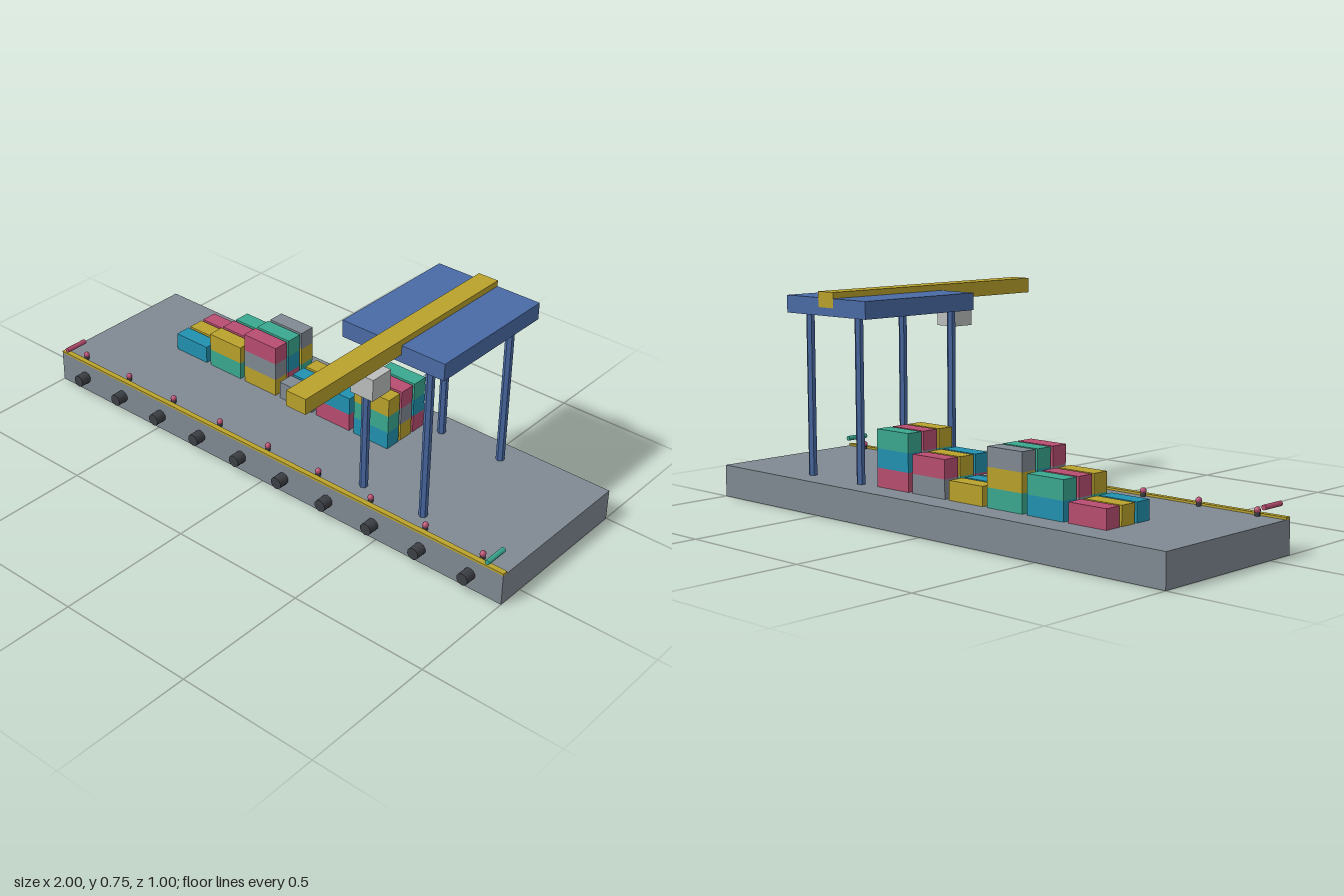
import * as THREE from 'three';

const mat = (name, color) => {
  const m = new THREE.MeshStandardMaterial({ color });
  m.name = name;
  return m;
};

export function createModel() {
  const grey = mat('concrete grey', 0x808992);
  const yellow = mat('safety yellow', 0xb9a22c);
  const crimson = mat('crimson', 0xb84d70);
  const cyan = mat('cyan blue', 0x2191b0);
  const green = mat('sea green', 0x3aa88f);
  const blue = mat('crane blue', 0x4a6ba5);
  const pale = mat('pale grey', 0xbcbebe);
  const dark = mat('rubber black', 0x3c3f44);

  const model = new THREE.Group();
  model.name = 'containerPort';

  const add = (parent, name, geometry, material, x, y, z) => {
    const mesh = new THREE.Mesh(geometry, material);
    mesh.name = name;
    mesh.position.set(x, y, z);
    parent.add(mesh);
    return mesh;
  };
  const group = (name) => {
    const g = new THREE.Group();
    g.name = name;
    model.add(g);
    return g;
  };
  const box = (w, h, d) => new THREE.BoxGeometry(w, h, d);

  // Quay slab with a painted kerb along the water
  const deckTop = 0.1125;
  add(model, 'quayDeck', box(2, deckTop, 0.6), grey, 0, deckTop / 2, -0.2);
  add(model, 'quayEdge', box(2, 0.0075, 0.02), yellow, 0, deckTop + 0.00375, 0.09);

  // Round fenders on the quay face
  const fenders = group('fenders');
  const fenderGeo = new THREE.CylinderGeometry(0.022, 0.022, 0.04, 10).rotateX(Math.PI / 2);
  for (let i = 0; i < 10; i++) {
    add(fenders, 'fender', fenderGeo, dark, -0.875 + i * (1.75 / 9), 0.057, 0.12);
  }

  // Mooring bollards: dark post with a crimson cap
  const bollards = group('bollards');
  const postGeo = new THREE.CylinderGeometry(0.009, 0.009, 0.018, 8);
  const capGeo = new THREE.SphereGeometry(0.011, 8, 6);
  for (let i = 0; i < 9; i++) {
    const x = -0.9 + i * 0.225;
    add(bollards, 'bollardPost', postGeo, dark, x, deckTop + 0.009, 0.07);
    add(bollards, 'bollardCap', capGeo, crimson, x, 0.131, 0.07);
  }

  // Port and starboard marker bars at the quay ends
  const barGeo = new THREE.CylinderGeometry(0.009, 0.009, 0.088, 8).rotateX(Math.PI / 2);
  add(model, 'rightMarkerBar', barGeo, crimson, -0.95, 0.151, 0.076);
  add(model, 'leftMarkerBar', barGeo, green, 0.95, 0.151, 0.076);

  // Container stacks: colours cycle by column, row and tier
  const containers = group('containers');
  const cycle = [yellow, grey, crimson, cyan, green];
  const tierH = 0.065;
  const containerGeo = box(0.15, tierH, 0.06);
  for (let col = 0; col < 6; col++) {
    for (let row = 0; row < 3; row++) {
      for (let tier = 0; tier <= col % 3; tier++) {
        add(containers, 'container', containerGeo, cycle[(3 + col + 2 * row + tier) % 5],
          -0.625 + col * 0.17, deckTop + (tier + 0.5) * tierH, -0.235 - row * 0.07);
      }
    }
  }

  // Gantry crane: six-sided legs, platform, boom and hoist
  const crane = group('gantryCrane');
  const legH = 0.672 - deckTop;
  const legGeo = new THREE.CylinderGeometry(0.015, 0.015, legH, 6).toNonIndexed();
  legGeo.computeVertexNormals();
  for (const x of [0.375, 0.623]) {
    for (const z of [0.014, -0.412]) {
      add(crane, 'craneLeg', legGeo, blue, x, deckTop + legH / 2, z);
    }
  }
  add(crane, 'cranePlatform', box(0.4, 0.06, 0.5), blue, 0.5, 0.702, -0.2);
  add(crane, 'craneBoom', box(0.075, 0.053, 0.95), yellow, 0.498, 0.7265, 0.025);
  add(crane, 'craneHoist', box(0.087, 0.076, 0.087), pale, 0.498, 0.638, 0.151);

  return model;
}
